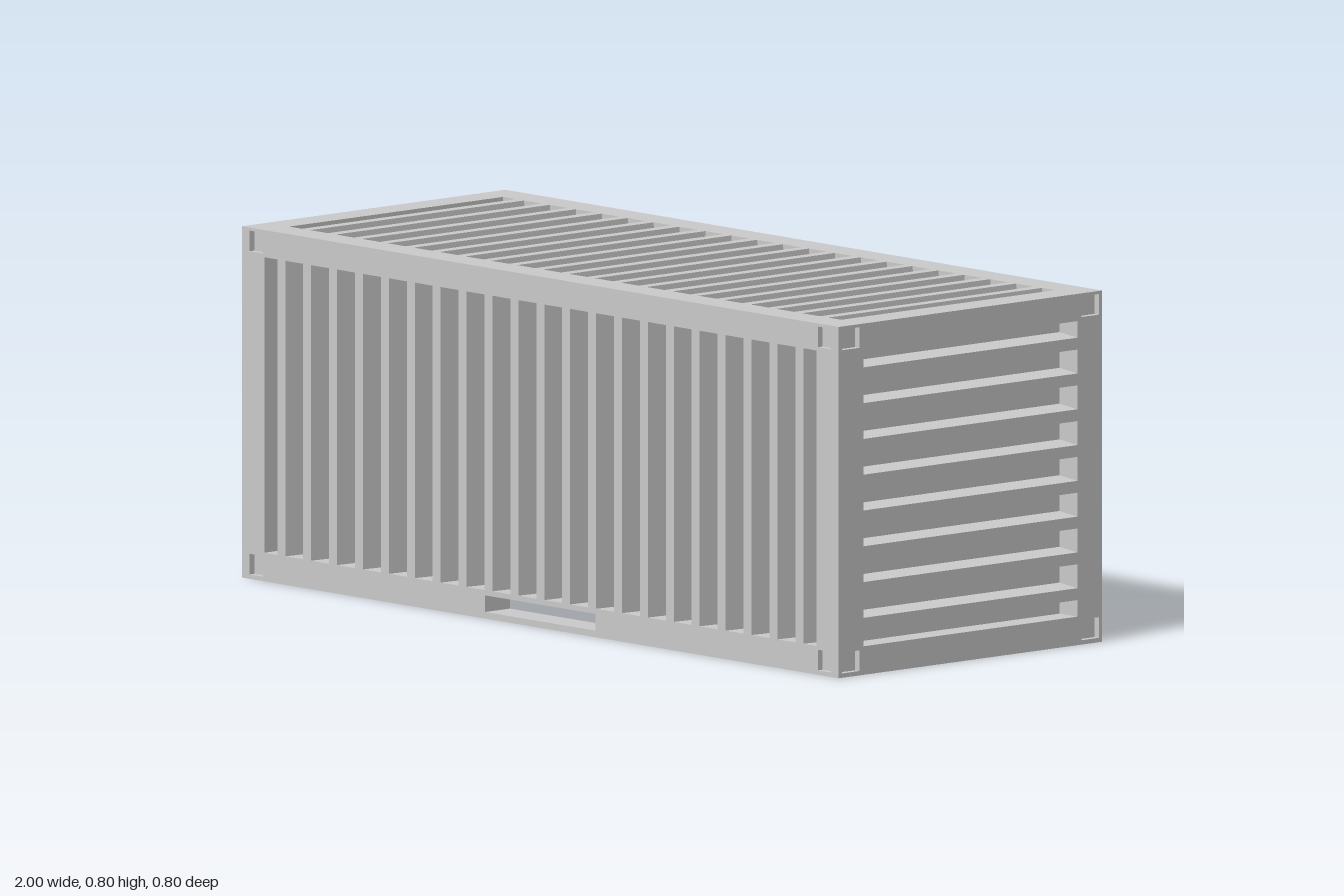
import * as THREE from 'three';

const material = new THREE.MeshStandardMaterial({ color: 0xcccccc, flatShading: true });

// Main sizes
const HALF_X = 1, HALF_Z = 0.4, HEIGHT = 0.8;
const SKIN = 0.015, CORE = 0.06;            // layers of the frame, 0.075 together
const OPEN_X = 0.925, OPEN_Z = 0.325;       // half widths of the frame openings
const OPEN_Y0 = 0.065, OPEN_Y1 = 0.738;
const MID_Y = (OPEN_Y0 + OPEN_Y1) / 2;

function rectPath(path, x0, y0, x1, y1) {
  path.moveTo(x0, y0);
  path.lineTo(x1, y0);
  path.lineTo(x1, y1);
  path.lineTo(x0, y1);
  path.closePath();
  return path;
}

// Flat plate with rectangular holes; its outer face lies on z = 0
function plate(rect, holes, depth) {
  const shape = rectPath(new THREE.Shape(), ...rect);
  for (const h of holes) shape.holes.push(rectPath(new THREE.Path(), ...h));
  return new THREE.ExtrudeGeometry(shape, { depth, bevelEnabled: false }).translate(0, 0, -depth);
}

// Corrugated sheet: ridges run along z, ridge tops lie on y = 0
function corrugated(length, width, count, spacing) {
  const depth = 0.06, top = 0.0135, base = 0.0195, back = -0.07;
  const shape = new THREE.Shape();
  shape.moveTo(-length / 2, back);
  shape.lineTo(length / 2, back);
  shape.lineTo(length / 2, -depth);
  for (let i = count - 1; i >= 0; i--) {
    const c = (i - (count - 1) / 2) * spacing;
    shape.lineTo(c + base, -depth);
    shape.lineTo(c + top, 0);
    shape.lineTo(c - top, 0);
    shape.lineTo(c - base, -depth);
  }
  shape.lineTo(-length / 2, -depth);
  shape.closePath();
  return new THREE.ExtrudeGeometry(shape, { depth: width, bevelEnabled: false }).translate(0, 0, -width / 2);
}

// Four square corner pockets of a face, between two distances from the middle
function cornerPockets(a, b) {
  const holes = [];
  for (const [y0, y1] of [[0.01, 0.057], [0.746, 0.793]]) {
    holes.push([a, y0, b, y1], [-b, y0, -a, y1]);
  }
  return holes;
}

export function createModel() {
  const group = new THREE.Group();
  const add = (name, geometry, position = [0, 0, 0], rotation = [0, 0, 0]) => {
    const mesh = new THREE.Mesh(geometry, material);
    mesh.name = name;
    mesh.position.set(...position);
    mesh.rotation.set(...rotation);
    group.add(mesh);
    return mesh;
  };

  // Long side frames with fork slot and corner pockets
  const sideX = HALF_X - SKIN;
  const sideRect = [-sideX, 0, sideX, HEIGHT];
  const sideHoles = [[-OPEN_X, OPEN_Y0, OPEN_X, OPEN_Y1], [-0.185, 0.015, 0.185, 0.053]];
  const sideSkin = plate(sideRect, [...sideHoles, ...cornerPockets(0.93, 0.975)], SKIN);
  const sideCore = plate(sideRect, sideHoles, CORE);
  const sidePanel = corrugated(2 * OPEN_X, OPEN_Y1 - OPEN_Y0, 21, 0.0868);
  for (const s of [1, -1]) {
    const label = s > 0 ? 'front' : 'back';
    const turn = [0, s > 0 ? 0 : Math.PI, 0];
    add(label + 'FrameSkin', sideSkin, [0, 0, s * HALF_Z], turn);
    add(label + 'FrameCore', sideCore, [0, 0, s * (HALF_Z - SKIN)], turn);
    add(label + 'CorrugatedPanel', sidePanel, [0, MID_Y, s * HALF_Z], [s * Math.PI / 2, 0, 0]);
  }

  // End frames
  const endHole = [-OPEN_Z, OPEN_Y0, OPEN_Z, OPEN_Y1];
  const endSkin = plate([-HALF_Z, 0, HALF_Z, HEIGHT], [endHole, ...cornerPockets(0.337, 0.39)], SKIN);
  const endCore = plate([-0.35, 0, 0.35, HEIGHT], [endHole], CORE);
  for (const s of [1, -1]) {
    const label = s > 0 ? 'left' : 'right';
    const turn = [0, s * Math.PI / 2, 0];
    add(label + 'EndFrameSkin', endSkin, [s * HALF_X, 0, 0], turn);
    add(label + 'EndFrameCore', endCore, [s * (HALF_X - SKIN), 0, 0], turn);
  }

  // Closed end, with horizontal ridges
  add('endCorrugatedPanel', corrugated(OPEN_Y1 - OPEN_Y0, 2 * OPEN_Z, 8, 0.0815),
    [HALF_X, MID_Y, 0], [0, 0, -Math.PI / 2]);

  // Roof
  add('roofPanel', corrugated(2 * OPEN_X, 2 * OPEN_Z, 21, 0.0868), [0, HEIGHT, 0]);

  // Floor, raised above the fork slots
  add('floor', new THREE.BoxGeometry(1.854, 0.015, 0.654), [0, 0.0675, 0]);

  // Pair of doors, each with three slots, and the backing behind them
  const slots = [0.233, 0.4, 0.567].map((y) => [0.07, y - 0.018, 0.29, y + 0.018]);
  const mirrored = slots.map(([a, y0, b, y1]) => [-b, y0, -a, y1]);
  const doorTurn = [0, -Math.PI / 2, 0];
  add('doorA', plate([0.006, OPEN_Y0, OPEN_Z, OPEN_Y1], slots, 0.03), [-0.99, 0, 0], doorTurn);
  add('doorB', plate([-OPEN_Z, OPEN_Y0, -0.006, OPEN_Y1], mirrored, 0.03), [-0.99, 0, 0], doorTurn);
  add('doorBacking', new THREE.BoxGeometry(0.02, OPEN_Y1 - OPEN_Y0, 2 * OPEN_Z), [-0.95, MID_Y, 0]);

  return group;
}
